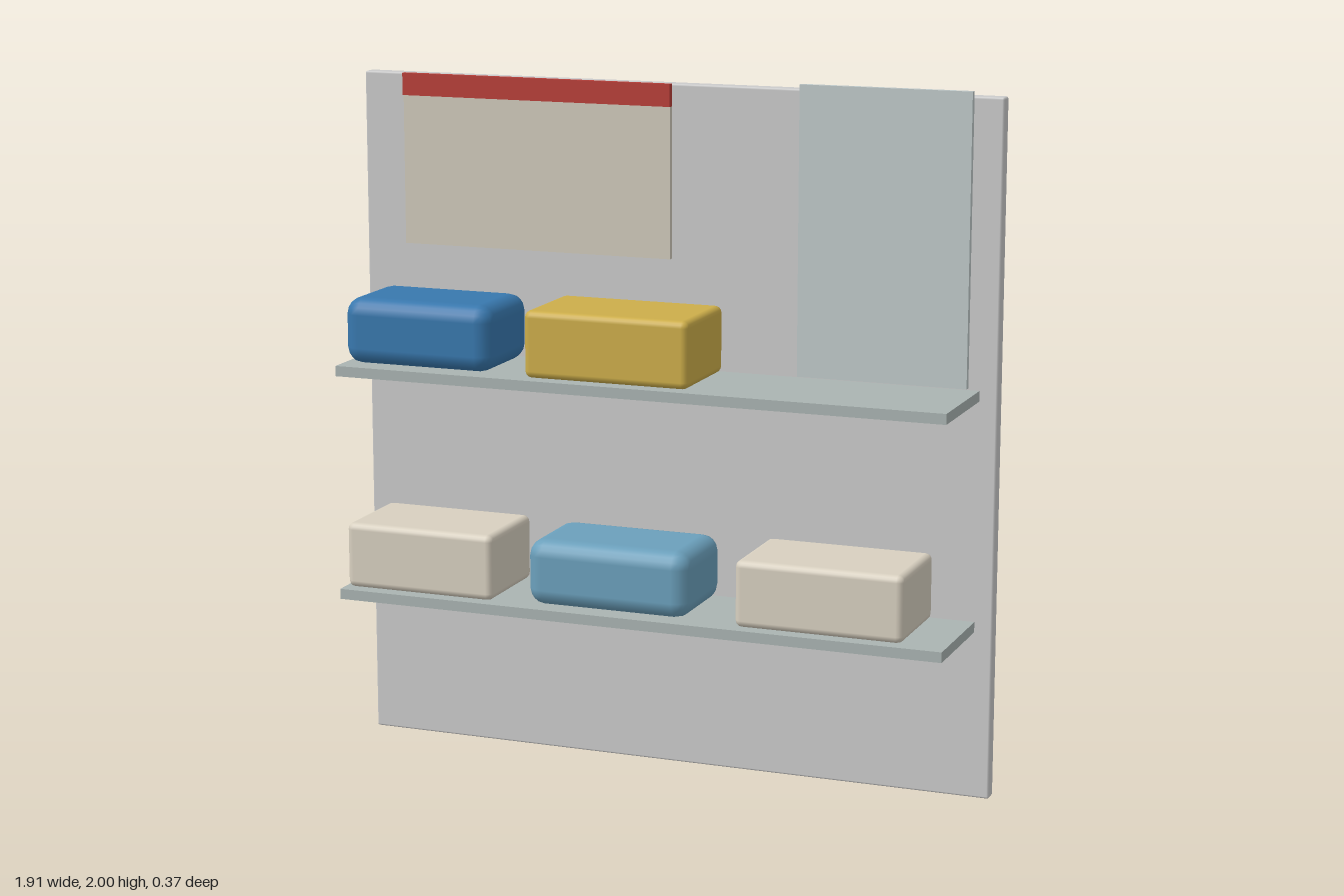
import * as THREE from 'three';
import { RoundedBoxGeometry } from 'three/addons/geometries/RoundedBoxGeometry.js';

const mat = (color) => new THREE.MeshStandardMaterial({ color });

// Box given by its extents; radius > 0 rounds the edges
function block(name, [x0, x1], [y0, y1], [z0, z1], material, radius = 0, segments = 2) {
  const size = [x1 - x0, y1 - y0, z1 - z0];
  const geometry = radius
    ? new RoundedBoxGeometry(...size, segments, radius)
    : new THREE.BoxGeometry(...size);
  const mesh = new THREE.Mesh(geometry, material);
  mesh.name = name;
  mesh.position.set((x0 + x1) / 2, (y0 + y1) / 2, (z0 + z1) / 2);
  return mesh;
}

export function createModel() {
  const group = new THREE.Group();
  group.name = 'wallShelfDisplay';

  const grey = mat(0xcccccc);
  const shelfMat = mat(0xaab4b2);
  const beige = mat(0xd8d0c0);
  const blue = mat(0x3878ae);
  const paleBlue = mat(0x6ba0bc);
  const yellow = mat(0xcdae4a);

  // Back wall panel
  group.add(block('backPanel', [-0.957, 0.957], [0, 1.985], [-0.185, -0.14], grey, 0.006, 1));

  // Two shelves, each with its row of goods
  const left = [-0.893, -0.435], middle = [-0.33, 0.16], right = [0.3, 0.788];
  const shelves = [
    { name: 'lower', y: 0.485, goods: [
      ['Box', left, beige, 0.02], ['Cushion', middle, paleBlue, 0.048], ['Box', right, beige, 0.02]] },
    { name: 'upper', y: 1.145, goods: [
      ['Cushion', left, blue, 0.048], ['Box', middle, yellow, 0.02]] },
  ];
  for (const { name, y, goods } of shelves) {
    group.add(block(name + 'Shelf', [-0.908, 0.905], [y, y + 0.03], [-0.14, 0.185], shelfMat));
    goods.forEach(([kind, span, material, radius], i) => {
      group.add(block(name + kind + (i + 1), span, [y + 0.033, y + 0.225], [-0.123, 0.168], material, radius));
    });
  }

  // Notice board with a red header strip
  group.add(block('noticeBoard', [-0.826, -0.002], [1.49, 1.984], [-0.14, -0.123], mat(0xd0cabb)));
  group.add(block('noticeHeader', [-0.827, -0.001], [1.922, 1.986], [-0.135, -0.118], mat(0xb83e38)));

  // Tall sheet standing on the upper shelf
  group.add(block('tallSheet', [0.38, 0.873], [1.18, 2], [-0.14, -0.122], mat(0xc0caca)));

  return group;
}
